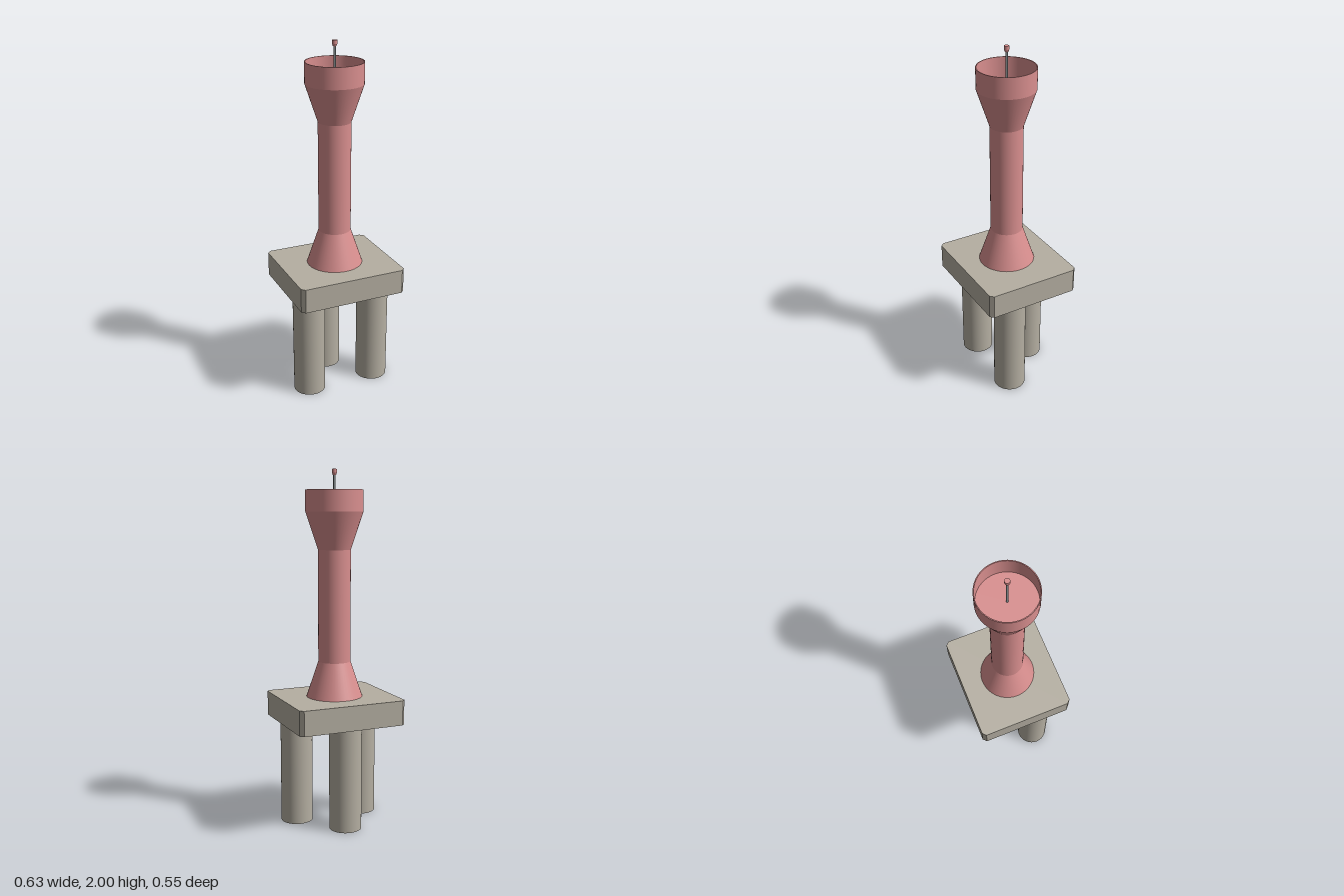
import * as THREE from 'three';

const mat = (name, color) => {
  const m = new THREE.MeshStandardMaterial({ color });
  m.name = name;
  return m;
};

export function createModel() {
  const concrete = mat('concrete', 0xb5afa2);
  const pink = mat('pink paint', 0xd98f8f);
  const steel = mat('grey steel', 0x8c9496);
  const group = new THREE.Group();

  const add = (name, geometry, material, x = 0, y = 0, z = 0) => {
    const mesh = new THREE.Mesh(geometry, material);
    mesh.name = name;
    mesh.position.set(x, y, z);
    group.add(mesh);
    return mesh;
  };
  // Round section running from y0 (radius r0) up to y1 (radius r1)
  const round = (name, material, r0, r1, y0, y1, { x = 0, z = 0, open = false, sides = 48 } = {}) =>
    add(name, new THREE.CylinderGeometry(r1, r0, y1 - y0, sides, 1, open), material, x, (y0 + y1) / 2, z);

  // Three supporting piles: two in front, one behind
  for (const [name, x, z] of [
    ['rightFrontPile', -0.203, 0.094],
    ['leftFrontPile', 0.197, 0.094],
    ['backPile', -0.006, -0.141],
  ]) round(name, concrete, 0.091, 0.091, 0, 0.6, { x, z });

  // Platform slab with clipped corners
  const w = 0.313, d = 0.276, c = 0.02;
  const outline = new THREE.Shape([
    [w - c, -d], [w, -d + c], [w, d - c], [w - c, d],
    [-w + c, d], [-w, d - c], [-w, -d + c], [-w + c, -d],
  ].map(([x, y]) => new THREE.Vector2(x, y)));
  const slab = new THREE.ExtrudeGeometry(outline, { depth: 0.14, bevelEnabled: false });
  slab.rotateX(-Math.PI / 2);
  add('platformSlab', slab, concrete, 0, 0.6, 0);

  // Tower: flared foot, straight shaft, flared head
  round('towerFoot', pink, 0.158, 0.091, 0.74, 0.94);
  round('towerShaft', pink, 0.091, 0.091, 0.94, 1.565, { open: true });
  round('towerHead', pink, 0.091, 0.16, 1.565, 1.773);

  // Hollow collar: outer wall, inner wall and flat rim
  const outer = 0.16, inner = 0.155, base = 1.773, top = 1.89;
  round('collarOuterWall', pink, outer, outer, base, top, { open: true });
  const wall = round('collarInnerWall', pink, inner, inner, base, top, { open: true });
  wall.geometry.scale(-1, 1, 1); // mirrored so that it faces inwards
  const rim = new THREE.RingGeometry(inner, outer, 48);
  rim.rotateX(-Math.PI / 2);
  add('collarRim', rim, pink, 0, top, 0);

  // Mast with a small lamp on top
  round('mast', steel, 0.0065, 0.0065, base, 1.975, { sides: 16 });
  round('lampBase', pink, 0.009, 0.014, 1.968, 1.98, { sides: 24 });
  round('lamp', pink, 0.014, 0.014, 1.98, 2.0, { sides: 24 });

  return group;
}
